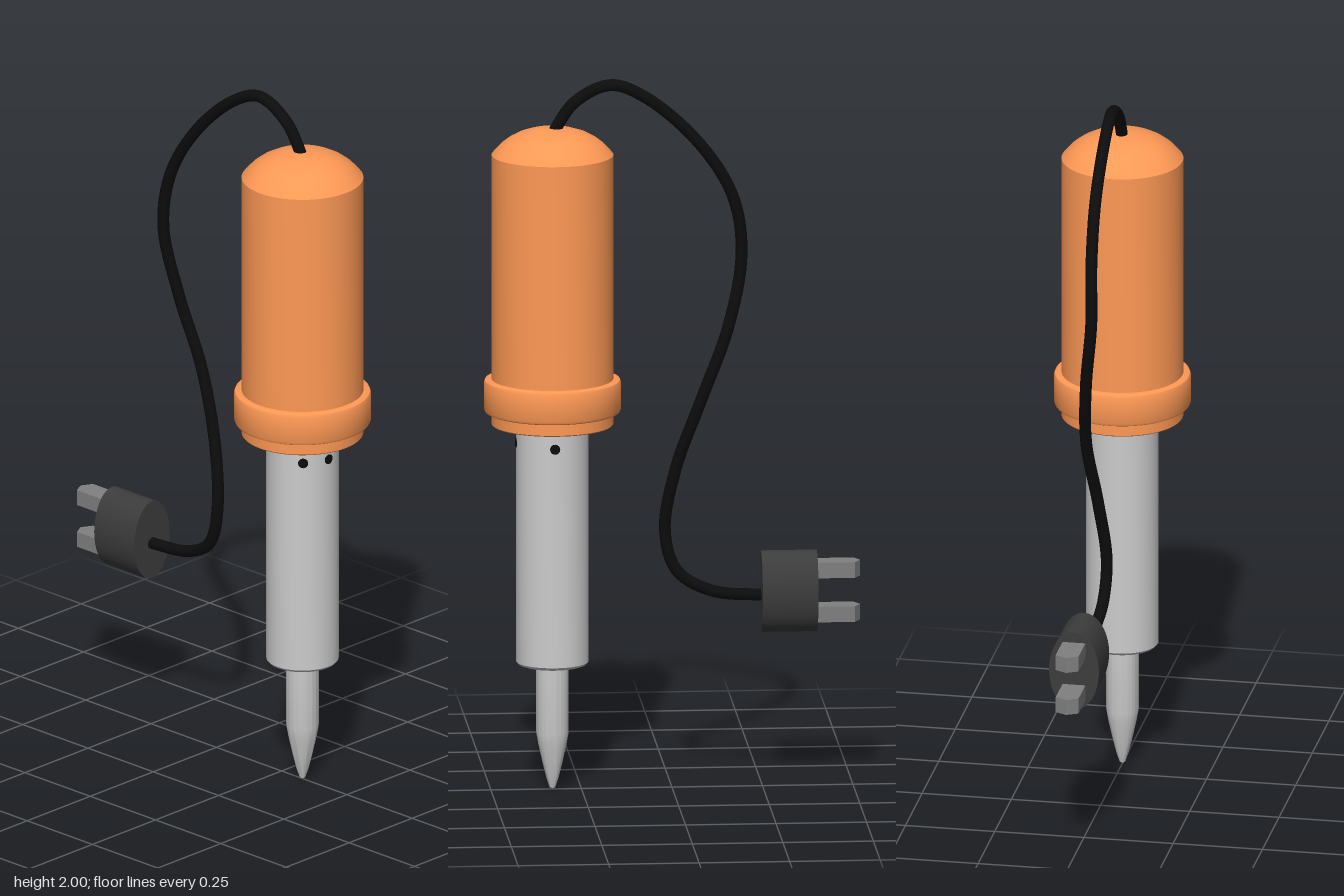
import * as THREE from 'three';
import { toCreasedNormals } from 'three/addons/utils/BufferGeometryUtils.js';

const AXIS_X = 0.33; // the iron stands off-centre, the plug balances it
const mat = (color) => new THREE.MeshStandardMaterial({ color });

export function createModel() {
  const model = new THREE.Group();
  const orange = mat(0xff9955);
  const grey = mat(0xcccccc);
  const black = mat(0x0c0c0c);
  const plugGrey = mat(0x3c3c3c);
  const prongGrey = mat(0x808080);

  const add = (name, geometry, material, parent = model) => {
    const mesh = new THREE.Mesh(geometry, material);
    mesh.name = name;
    parent.add(mesh);
    return mesh;
  };
  // Turned part: profile of [radius, y] from bottom to top, sharp edges kept
  const turned = (profile) => toCreasedNormals(
    new THREE.LatheGeometry(profile.map(([r, y]) => new THREE.Vector2(r, y)), 56), 0.55);

  const iron = new THREE.Group();
  iron.name = 'iron';
  iron.position.x = AXIS_X;
  model.add(iron);

  // Handle with domed top
  const handle = [[0, 1.03], [0.165, 1.03], [0.168, 1.033], [0.168, 1.79]];
  handle.push([0.158, 1.802], [0.143, 1.818], [0.122, 1.834], [0.096, 1.848],
    [0.066, 1.858], [0.034, 1.863], [0, 1.865]);
  add('handle', turned(handle), orange, iron);

  // Collar ring around the handle's lower end
  add('collar', turned([[0.16, 1.066], [0.18, 1.066], [0.186, 1.069], [0.189, 1.076],
    [0.189, 1.15], [0.186, 1.157], [0.18, 1.16], [0.16, 1.16]]), orange, iron);

  // Heater barrel and soldering tip
  add('barrel', turned([[0, 0.354], [0.085, 0.354], [0.094, 0.357], [0.1, 0.364],
    [0.1, 1.04]]), grey, iron);
  add('tip', turned([[0, 0.003], [0.008, 0.008], [0.017, 0.035], [0.028, 0.08],
    [0.039, 0.13], [0.045, 0.165], [0.045, 0.36]]), grey, iron);

  // Small vent holes, angles measured from the front towards +x
  for (const degrees of [45, 90, 180]) {
    const a = THREE.MathUtils.degToRad(degrees);
    const vent = add('ventHole',
      new THREE.CylinderGeometry(0.014, 0.014, 0.01, 16).rotateX(Math.PI / 2), black, iron);
    vent.position.set(0.097 * Math.sin(a), 0.98, 0.097 * Math.cos(a));
    vent.rotation.y = a;
  }

  // Power cable
  const path = new THREE.CatmullRomCurve3([
    [0.335, 1.84, 0], [0.27, 1.935, 0], [0.17, 1.983, 0], [0.07, 1.945, 0],
    [-0.08, 1.81, 0], [-0.17, 1.66, 0.006], [-0.193, 1.5, 0.01], [-0.155, 1.3, -0.012],
    [-0.08, 1.1, -0.025], [-0.01, 0.9, -0.005], [0.018, 0.72, 0.014], [-0.015, 0.61, 0.01],
    [-0.11, 0.555, 0], [-0.26, 0.54, 0],
  ].map((p) => new THREE.Vector3(...p)));
  add('cable', new THREE.TubeGeometry(path, 140, 0.0165, 14), black);

  // Plug: oval body lying along x
  const plug = new THREE.Group();
  plug.name = 'plug';
  plug.position.set(-0.323, 0.551, 0);
  model.add(plug);
  const body = new THREE.CylinderGeometry(1, 1, 0.154, 40).rotateZ(Math.PI / 2);
  add('plugBody', body.scale(1, 0.114, 0.07), plugGrey, plug);

  // Two flat prongs with pointed ends
  const outline = new THREE.Shape([[-0.07, -0.032], [-0.07, 0.032], [-0.18, 0.032],
    [-0.197, 0], [-0.18, -0.032]].map(([x, y]) => new THREE.Vector2(x, y)));
  for (const side of [1, -1]) {
    const prong = new THREE.ExtrudeGeometry(outline, { depth: 0.044, bevelEnabled: false });
    prong.translate(0, 0, -0.022).rotateX(-Math.PI / 2);
    add('prong', prong, prongGrey, plug).position.y = side * 0.062;
  }
  return model;
}
